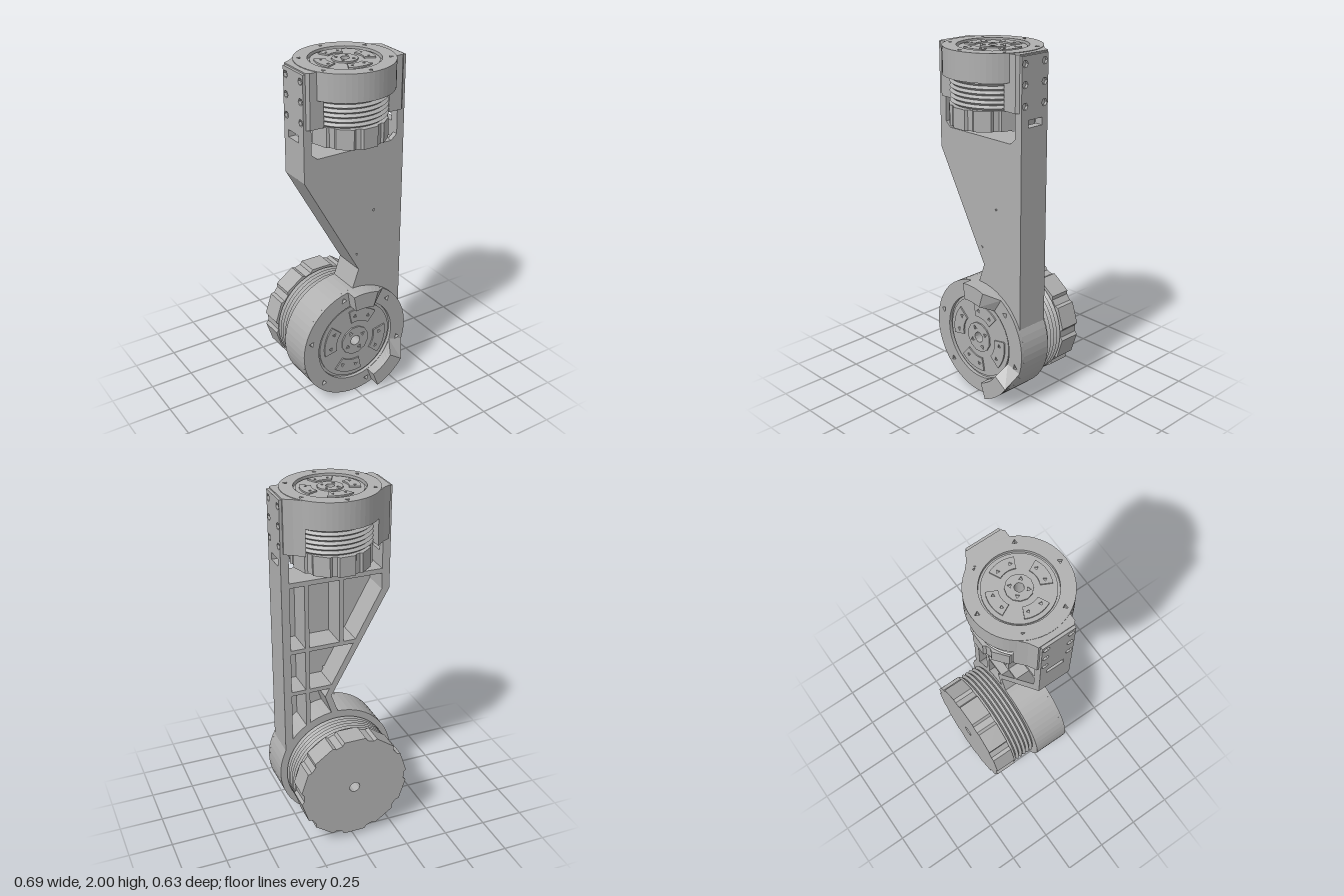
import * as THREE from 'three';

const metal = new THREE.MeshStandardMaterial({ color: 0xb0b0b0, flatShading: true });
metal.name = 'grey metal';

const V = (x, y) => new THREE.Vector2(x, y);
const rad = THREE.MathUtils.degToRad;

function add(parent, name, geo) {
  const m = new THREE.Mesh(geo, metal);
  m.name = name;
  parent.add(m);
  return m;
}

const poly = (pts) => new THREE.Shape(pts.map((p) => V(p[0], p[1])));

// Regular polygon points round (x, y)
const ngon = (r, n, x = 0, y = 0, turn = 0) =>
  Array.from({ length: n }, (_, i) => {
    const a = turn + (i / n) * Math.PI * 2;
    return V(x + r * Math.cos(a), y + r * Math.sin(a));
  });

function punch(shape, ...loops) {
  loops.forEach((l) => shape.holes.push(new THREE.Path(l)));
  return shape;
}

function slab(shape, z0, z1) {
  return new THREE.ExtrudeGeometry(shape, { depth: z1 - z0, bevelEnabled: false, curveSegments: 16 }).translate(0, 0, z0);
}

// Part of a ring between two angles
function sector(r0, r1, a0, a1, n = 8) {
  const pts = [];
  for (let i = 0; i <= n; i++) {
    const a = a0 + ((a1 - a0) * i) / n;
    pts.push([r1 * Math.cos(a), r1 * Math.sin(a)]);
  }
  for (let i = n; i >= 0; i--) {
    const a = a0 + ((a1 - a0) * i) / n;
    pts.push([r0 * Math.cos(a), r0 * Math.sin(a)]);
  }
  return poly(pts);
}

// Motor with its face at z = 0, running back along -z
function motor({ R, housing, fins, cap, finR, capR, capWidth = 1, turn }) {
  const g = new THREE.Group();
  const bore = 0.09 * R;
  const lathe = (pts) => new THREE.LatheGeometry(pts, 56).rotateX(Math.PI / 2);

  // Housing drum with a centre bore
  add(g, 'housing', lathe([V(bore, -housing), V(R, -housing), V(R, -0.02), V(bore, -0.02), V(bore, -housing)]));

  // Rotating face: rim, disc, pads and hub
  const face = new THREE.Group();
  face.name = 'face';
  face.rotation.z = turn;
  g.add(face);
  const rim = punch(new THREE.Shape(ngon(R, 56)), ngon(0.72 * R, 56));
  for (let i = 0; i < 6; i++) {
    const a = rad(30 + i * 60);
    punch(rim, ngon(0.055 * R, 3, 0.88 * R * Math.cos(a), 0.88 * R * Math.sin(a), a));
  }
  add(face, 'rim', slab(rim, -0.02, 0));
  add(face, 'disc', slab(punch(new THREE.Shape(ngon(0.68 * R, 40)), ngon(bore, 12)), -0.02, -0.01));
  for (let i = 0; i < 4; i++) {
    const a = (i * Math.PI) / 2;
    const pad = sector(0.37 * R, 0.6 * R, a - 0.46, a + 0.46);
    for (const s of [-0.28, 0.28]) {
      punch(pad, ngon(0.04 * R, 3, 0.48 * R * Math.cos(a + s), 0.48 * R * Math.sin(a + s), a));
    }
    add(face, 'pad', slab(pad, -0.01, -0.002));
  }
  const hub = punch(new THREE.Shape(ngon(0.26 * R, 12)), ngon(bore, 12));
  for (let i = 0; i < 4; i++) {
    const a = rad(45 + i * 90);
    punch(hub, ngon(0.045 * R, 3, 0.17 * R * Math.cos(a), 0.17 * R * Math.sin(a), a));
  }
  add(face, 'hub', slab(hub, -0.01, -0.002));

  // Cooling fins: a zigzag profile
  const z0 = -housing - fins;
  const prof = [V(bore, z0)];
  const ridges = 6;
  for (let i = 0; i <= ridges * 2; i++) {
    prof.push(V(finR - (i % 2 ? 0 : 0.016), z0 + (fins * i) / (ridges * 2)));
  }
  prof.push(V(bore, -housing), V(bore, z0));
  add(g, 'coolingFins', lathe(prof));

  // Lobed end cap
  const outline = [];
  for (let i = 0; i < 10; i++) {
    const a = Math.PI / 2 + (i * Math.PI) / 5;
    for (const [r, d] of [[0.95, -0.25], [1, -0.2], [1, 0.2], [0.95, 0.25]]) {
      outline.push([r * capR * Math.cos(a + d), r * capR * Math.sin(a + d)]);
    }
  }
  const end = add(g, 'endCap', slab(punch(poly(outline), ngon(bore, 12)), z0 - cap, z0));
  end.scale.x = capWidth;
  return g;
}

// Raised end stop whose ends lean inwards from base angles to top angles
function endStop(b0, b1, t0, t1) {
  const geo = slab(sector(0.25, 0.345, rad(b0), rad(b1), 8), 0, 0.065);
  const p = geo.attributes.position;
  for (let i = 0; i < p.count; i++) {
    if (p.getZ(i) < 0.03) continue;
    const r = Math.hypot(p.getX(i), p.getY(i));
    const f = (THREE.MathUtils.radToDeg(Math.atan2(p.getY(i), p.getX(i))) - b0) / (b1 - b0);
    const a = rad(t0 + f * (t1 - t0));
    p.setXY(i, r * Math.cos(a), r * Math.sin(a));
  }
  return geo;
}

export function createModel() {
  const model = new THREE.Group();
  model.name = 'robotLeg';
  const BACK = -0.04, FRONT = 0.15;

  // Lower motor, facing forwards
  const lower = motor({ R: 0.345, housing: 0.21, fins: 0.15, cap: 0.125, finR: 0.31, capR: 0.32, turn: rad(75) });
  lower.name = 'lowerMotor';
  lower.position.set(0, 0.345, 0.17);
  add(lower, 'upperStop', endStop(58, 99, 72, 99));
  add(lower, 'lowerStop', endStop(-70, -18, -70, -35));
  model.add(lower);

  // Upper motor, facing up, with mounting ears
  const upper = motor({ R: 0.265, housing: 0.15, fins: 0.15, cap: 0.11, finR: 0.228, capR: 0.248, capWidth: 0.88, turn: 0 });
  upper.name = 'upperMotor';
  upper.position.set(0, 2, 0.05);
  upper.rotation.x = -Math.PI / 2;
  for (const s of [1, -1]) {
    const ear = poly([[0.2, 0.17], [0.25, 0.125], [0.295, 0.1], [0.295, -0.1], [0.28, -0.115], [0.2, -0.115]].map(([x, y]) => [s * x, y]));
    add(upper, 'mountingEar', slab(ear, -0.3, -0.003));
  }
  model.add(upper);

  // Front plate of the arm with the fork cutout
  const plate = poly([
    [0.31, 0.42], [0.31, 1.7], [0.265, 1.7], [0.265, 1.56], [0.23, 1.53], [-0.23, 1.53], [-0.265, 1.56],
    [-0.265, 1.7], [-0.31, 1.7], [-0.31, 1.41], [0.03, 0.8], [-0.02, 0.66], [0, 0.42],
  ]);
  punch(plate, ngon(0.007, 6, 0.125, 1.145), ngon(0.007, 6, 0.015, 0.9));
  add(model, 'armPlate', slab(plate, 0.12, FRONT));

  // Side walls with screw holes and a slot
  for (const [x, y0] of [[0.31, 0.42], [-0.265, 1.41]]) {
    const wall = poly([[BACK, y0], [FRONT, y0], [FRONT, 1.99], [BACK, 1.99]]);
    for (const z of [-0.015, 0.125]) {
      for (const y of [1.735, 1.845, 1.95]) punch(wall, ngon(0.02, 6, z, y));
    }
    punch(wall, [V(0.0, 1.62), V(0.1, 1.62), V(0.1, 1.66), V(0.0, 1.66)]);
    add(model, 'sideWall', slab(wall, 0, 0.045).rotateY(-Math.PI / 2).translate(x, 0, 0));
  }

  // Ribs open to the back
  const rib = (x0, y0, x1, y1, t = 0.024) => {
    const m = add(model, 'rib', new THREE.BoxGeometry(Math.hypot(x1 - x0, y1 - y0), t, 0.18));
    m.position.set((x0 + x1) / 2, (y0 + y1) / 2, BACK + 0.09);
    m.rotation.z = Math.atan2(y1 - y0, x1 - x0);
  };
  rib(-0.28, 1.516, 0.28, 1.516, 0.028);
  rib(-0.14, 1.12, 0.28, 1.12);
  rib(0.01, 0.86, 0.28, 0.86);
  rib(0.17, 0.62, 0.17, 1.51);
  rib(-0.03, 1.12, -0.03, 1.51);

  // Slanted edge wall running down into the housing
  const slant = poly([[-0.31, 1.41], [0.03, 0.8], [-0.02, 0.66], [0.02, 0.66], [0.068, 0.8], [-0.265, 1.41]]);
  add(model, 'slantedWall', slab(slant, BACK, FRONT - 0.001));

  return model;
}
